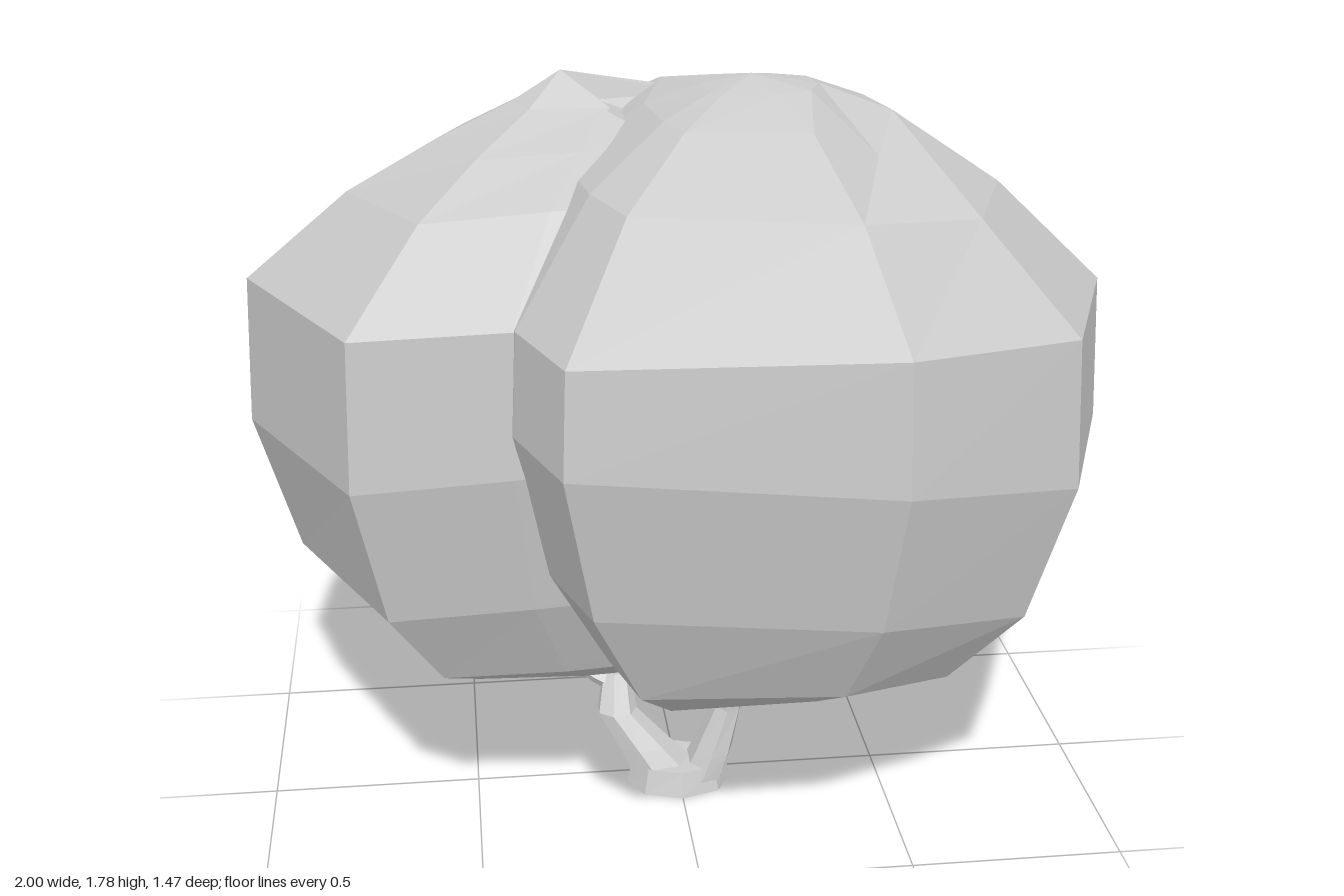
import * as THREE from 'three';

const material = new THREE.MeshStandardMaterial({ color: 0xcccccc, flatShading: true });

function addMesh(parent, name, geometry) {
  const mesh = new THREE.Mesh(geometry, material);
  mesh.name = name;
  parent.add(mesh);
}

// Skin a stack of rings (bottom to top) and close both ends with a fan.
function loft(rings, bottom, top) {
  const n = rings[0].length, last = rings.length - 1;
  const points = [...rings.flat(), bottom, top];
  const bottomId = points.length - 2, topId = points.length - 1;
  const index = [];
  for (let i = 0; i < n; i++) {
    const j = (i + 1) % n;
    for (let k = 0; k < last; k++) {
      const a = k * n + i, b = k * n + j;
      index.push(a, b, b + n, a, b + n, a + n);
    }
    index.push(bottomId, j, i, topId, last * n + i, last * n + j);
  }
  const geometry = new THREE.BufferGeometry().setFromPoints(points.map((p) => new THREE.Vector3(...p)));
  geometry.setIndex(index);
  geometry.computeVertexNormals();
  return geometry;
}

// Canopy lobe: outline columns [x, z, lift, lean] scaled about a centre at each
// level [x scale, z scale, y, lift share]; lean shifts a column in x as it
// narrows, and the dent lowers one point near the top.
function lobe(cx, cz, topY, columns, levels, dent) {
  const rings = levels.map(([sx, sz, y, f], k) => columns.map(([x, z, lift, lean = 0], i) => [
    cx + (x - cx) * sx + lean * (1 - sx),
    y + lift * f - (dent[0] === i && dent[1] === k ? dent[2] : 0),
    cz + (z - cz) * sz,
  ]));
  return loft(rings, [cx, 0.37, cz], [cx, topY, cz]);
}

// Trunk piece: horizontal oval sections [x, y, z, rx, rz].
function limb(sections, sides = 7) {
  const rings = sections.map(([x, y, z, rx, rz]) => Array.from({ length: sides }, (_, i) => {
    const t = (i / sides) * Math.PI * 2;
    return [x + rx * Math.cos(t), y, z - rz * Math.sin(t)];
  }));
  return loft(rings, sections[0].slice(0, 3), sections.at(-1).slice(0, 3));
}

// Thin bent twig, tapering to its tip.
function twig(points, radius) {
  const steps = 6, sides = 5;
  const curve = new THREE.CatmullRomCurve3(points.map((p) => new THREE.Vector3(...p)));
  const geometry = new THREE.TubeGeometry(curve, steps, radius, sides);
  const pos = geometry.attributes.position, v = new THREE.Vector3();
  for (let i = 0; i < pos.count; i++) {
    const t = Math.floor(i / (sides + 1)) / steps;
    v.fromBufferAttribute(pos, i).lerp(curve.getPointAt(t), t * 0.9);
    pos.setXYZ(i, v.x, v.y, v.z);
  }
  geometry.computeVertexNormals();
  return geometry;
}

export function createModel() {
  const tree = new THREE.Group();
  tree.name = 'tree';

  // Canopy: two lobes that hook into each other
  const canopy = new THREE.Group();
  canopy.name = 'canopy';
  tree.add(canopy);
  const lower = [[0.47, 0.55, 0.372, 0.2], [0.64, 0.75, 0.43, 0.5], [0.87, 0.9, 0.61, 0.9], [1, 1, 0.94, 1]];
  addMesh(canopy, 'frontLeftLobe', lobe(0.16, 0.05, 1.78, [
    [1, 0.05, 0], [0.91, -0.36, 0], [0.47, -0.57, 0.08], [0.25, -0.58, 0.1], [-0.3, -0.58, 0.22],
    [-0.45, -0.1, 0.1], [-0.4, 0.47, 0.17], [-0.31, 0.73, 0.17], [0.42, 0.65, 0.06], [0.83, 0.49, 0],
  ], [
    ...lower, [0.98, 0.97, 1.28, 0.35], [0.68, 0.7, 1.52, 0.45], [0.38, 0.4, 1.69, 0.15], [0.18, 0.18, 1.755, 0],
  ], [9, 6, 0.06]));
  addMesh(canopy, 'backRightLobe', lobe(-0.25, -0.13, 1.76, [
    [-1, -0.14, 0], [-0.75, 0.42, 0.03], [-0.4, 0.47, 0.07, 0.15], [0.3, 0.45, 0.1], [0.3, -0.1, 0.1],
    [0.34, -0.48, 0.15, 0.25], [0.4, -0.58, 0.17, 0.3], [0.37, -0.67, 0.17, 0.28], [-0.4, -0.74, 0.1], [-0.8, -0.59, 0],
  ], [
    ...lower, [0.98, 0.97, 1.29, 0.65], [0.66, 0.66, 1.49, 0.7], [0.4, 0.4, 1.6, 0.4], [0.15, 0.15, 1.69, 0],
  ], [8, 6, 0.03]));

  // Trunk: flared base splitting into two limbs
  const trunk = new THREE.Group();
  trunk.name = 'trunk';
  tree.add(trunk);
  addMesh(trunk, 'base', limb([[0, 0, 0.05, 0.13, 0.1], [0, 0.06, 0.05, 0.115, 0.08]], 8));
  addMesh(trunk, 'leftLimb', limb([
    [0.06, 0.03, 0.05, 0.055, 0.085], [0.085, 0.09, 0.05, 0.05, 0.07], [0.125, 0.2, 0.03, 0.035, 0.06],
    [0.14, 0.29, 0.03, 0.03, 0.05], [0.135, 0.45, 0.03, 0.03, 0.045],
  ]));
  addMesh(trunk, 'rightLimb', limb([
    [-0.03, 0.03, 0.05, 0.09, 0.075], [-0.085, 0.1, 0.03, 0.07, 0.06], [-0.15, 0.18, 0, 0.05, 0.045],
    [-0.145, 0.26, -0.06, 0.035, 0.035], [-0.13, 0.45, -0.14, 0.03, 0.03],
  ]));

  // Twigs
  addMesh(trunk, 'outerTwig', twig([[-0.15, 0.23, -0.04], [-0.2, 0.25, -0.05], [-0.24, 0.28, -0.06], [-0.27, 0.33, -0.06]], 0.024));
  addMesh(trunk, 'backTwig', twig([[-0.15, 0.22, -0.03], [-0.16, 0.19, -0.08], [-0.17, 0.17, -0.15]], 0.02));
  addMesh(trunk, 'innerTwig', twig([[0.13, 0.25, 0.02], [0.06, 0.27, 0], [0, 0.31, -0.02], [-0.05, 0.4, -0.03]], 0.024));
  return tree;
}
